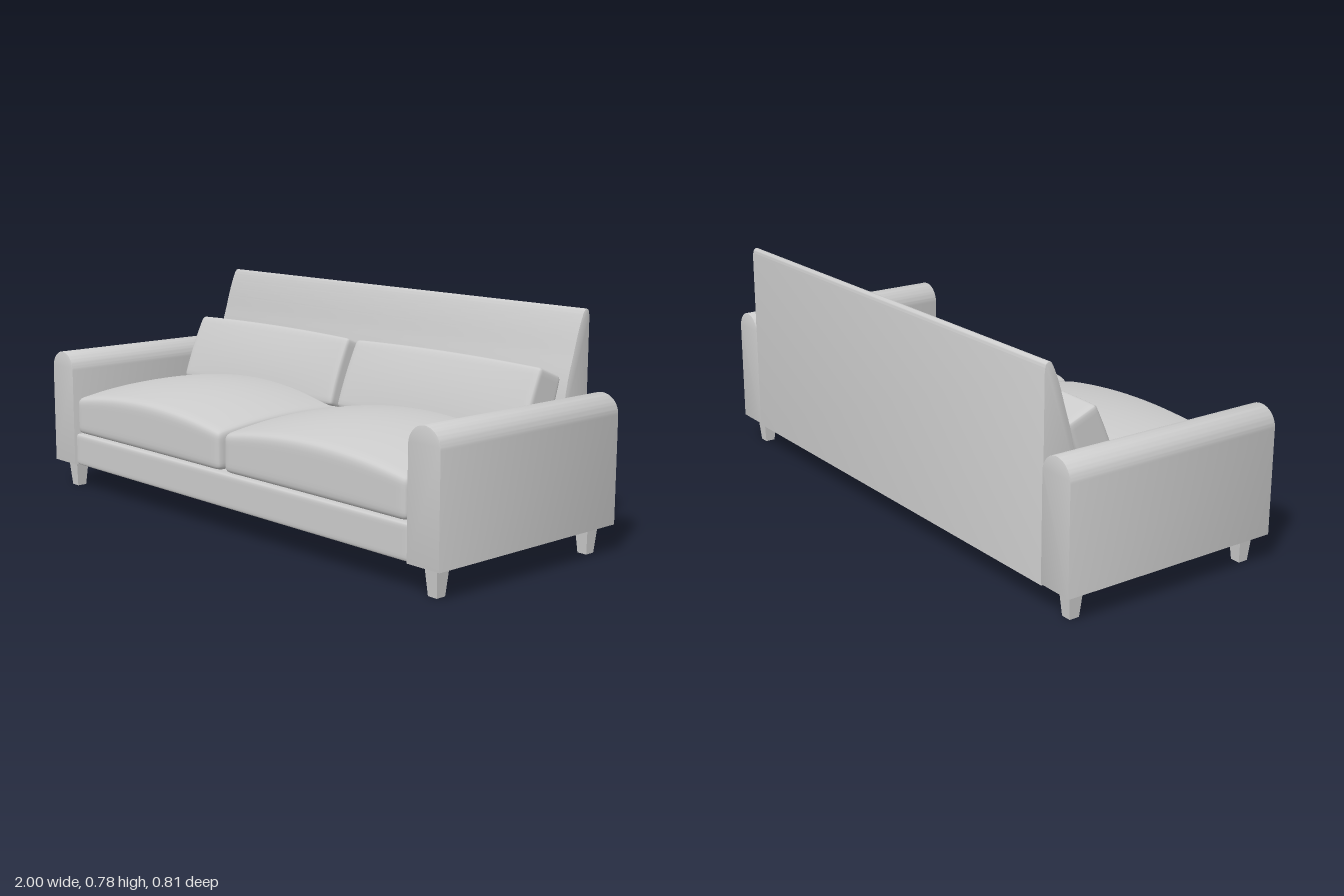
import * as THREE from 'three';
import { mergeVertices, toCreasedNormals } from 'three/addons/utils/BufferGeometryUtils.js';

const material = new THREE.MeshStandardMaterial({ color: 0xcccccc });

function addMesh(parent, name, geometry) {
  const mesh = new THREE.Mesh(geometry, material);
  mesh.name = name;
  parent.add(mesh);
  return mesh;
}

// Soft box with rounded edges; puff(p, u, v, w) swells it, u/v/w run -1..1 across each axis
function softBox(w, h, d, r, puff) {
  let g = new THREE.BoxGeometry(2, 2, 2, 26, 14, 26);
  const half = new THREE.Vector3(w / 2, h / 2, d / 2);
  const core = half.clone().subScalar(r);
  const pos = g.attributes.position;
  const p = new THREE.Vector3(), inner = new THREE.Vector3();
  const ease = (t) => Math.sin(t * Math.PI / 2); // crowds vertices toward the edges
  for (let i = 0; i < pos.count; i++) {
    p.fromBufferAttribute(pos, i);
    p.set(ease(p.x), ease(p.y), ease(p.z)).multiply(half);
    inner.copy(p).clamp(core.clone().negate(), core);
    p.sub(inner).setLength(r).add(inner);
    if (puff) puff(p, p.x / half.x, p.y / half.y, p.z / half.z);
    pos.setXYZ(i, p.x, p.y, p.z);
  }
  g.deleteAttribute('uv');
  g.deleteAttribute('normal');
  g = mergeVertices(g, 1e-5);
  g.computeVertexNormals();
  return g;
}

// Prism from a shape, centred along its depth
function prism(shape, depth) {
  const g = new THREE.ExtrudeGeometry(shape, {
    depth: depth - 0.006, curveSegments: 20,
    bevelEnabled: true, bevelThickness: 0.003, bevelSize: 0.003, bevelOffset: -0.003, bevelSegments: 2,
  });
  g.translate(0, 0, -(depth - 0.006) / 2);
  return g;
}

export function createModel() {
  const sofa = new THREE.Group();
  sofa.name = 'sofa';

  // Base rail under the seat
  addMesh(sofa, 'base', softBox(1.744, 0.118, 0.79, 0.012)).position.set(0, 0.154, 0.003);

  // Backrest: wedge profile, drawn as (z, y) and swept across the width
  const back = new THREE.Shape();
  back.moveTo(-0.404, 0.091);
  back.lineTo(-0.28, 0.091);
  back.lineTo(-0.265, 0.3);
  back.splineThru([[-0.296, 0.516], [-0.33, 0.64], [-0.352, 0.712], [-0.374, 0.765],
    [-0.388, 0.776], [-0.4, 0.768], [-0.404, 0.745]].map(([z, y]) => new THREE.Vector2(z, y)));
  back.closePath();
  const backGeometry = toCreasedNormals(prism(back, 1.75).rotateY(-Math.PI / 2), 0.6);
  addMesh(sofa, 'backrest', backGeometry);

  // Arm profile with a half-round top
  const arm = new THREE.Shape();
  arm.moveTo(-0.065, 0.095);
  arm.lineTo(0.065, 0.095);
  arm.lineTo(0.065, 0.45);
  arm.absarc(0, 0.45, 0.065, 0, Math.PI, false);
  arm.closePath();
  const armGeometry = toCreasedNormals(prism(arm, 0.81), 0.6);

  // Square tapered leg
  const legGeometry = toCreasedNormals(
    new THREE.CylinderGeometry(0.0375, 0.025, 0.1, 4).rotateY(Math.PI / 4), 0.4);

  // Seat cushion: the top crowns toward its middle
  const seatGeometry = softBox(0.856, 0.13, 0.7, 0.022, (p, u, v, w) => {
    const t = (v + 1) / 2, a = 1 - u * u, b = 1 - w * w;
    p.y += t * (0.038 * a + 0.03 * b + 0.02 * a * b);
    p.x *= 1 - 0.012 * w * w;
  });

  // Back cushion: boxed pillow, slightly swollen on its faces
  const pillowGeometry = softBox(0.846, 0.246, 0.112, 0.014, (p, u, v, w) => {
    p.z += w * 0.012 * (1 - v * v) * (1 - 0.5 * u * u);
    p.y += v * 0.008 * (1 - u * u);
    p.x *= 1 - 0.012 * (v + 1) / 2;
  });

  for (const side of [-1, 1]) {
    const label = side > 0 ? 'left' : 'right';
    addMesh(sofa, label + 'Arm', armGeometry).position.x = side * 0.935;
    addMesh(sofa, label + 'SeatCushion', seatGeometry).position.set(side * 0.435, 0.281, 0.05);
    const pillow = addMesh(sofa, label + 'BackCushion', pillowGeometry);
    pillow.position.set(side * 0.438, 0.472, -0.2);
    pillow.rotation.x = -0.38;
    for (const z of [0.345, -0.343]) {
      const name = label + (z > 0 ? 'Front' : 'Back') + 'Leg';
      addMesh(sofa, name, legGeometry).position.set(side * 0.936, 0.05, z);
    }
  }
  return sofa;
}
